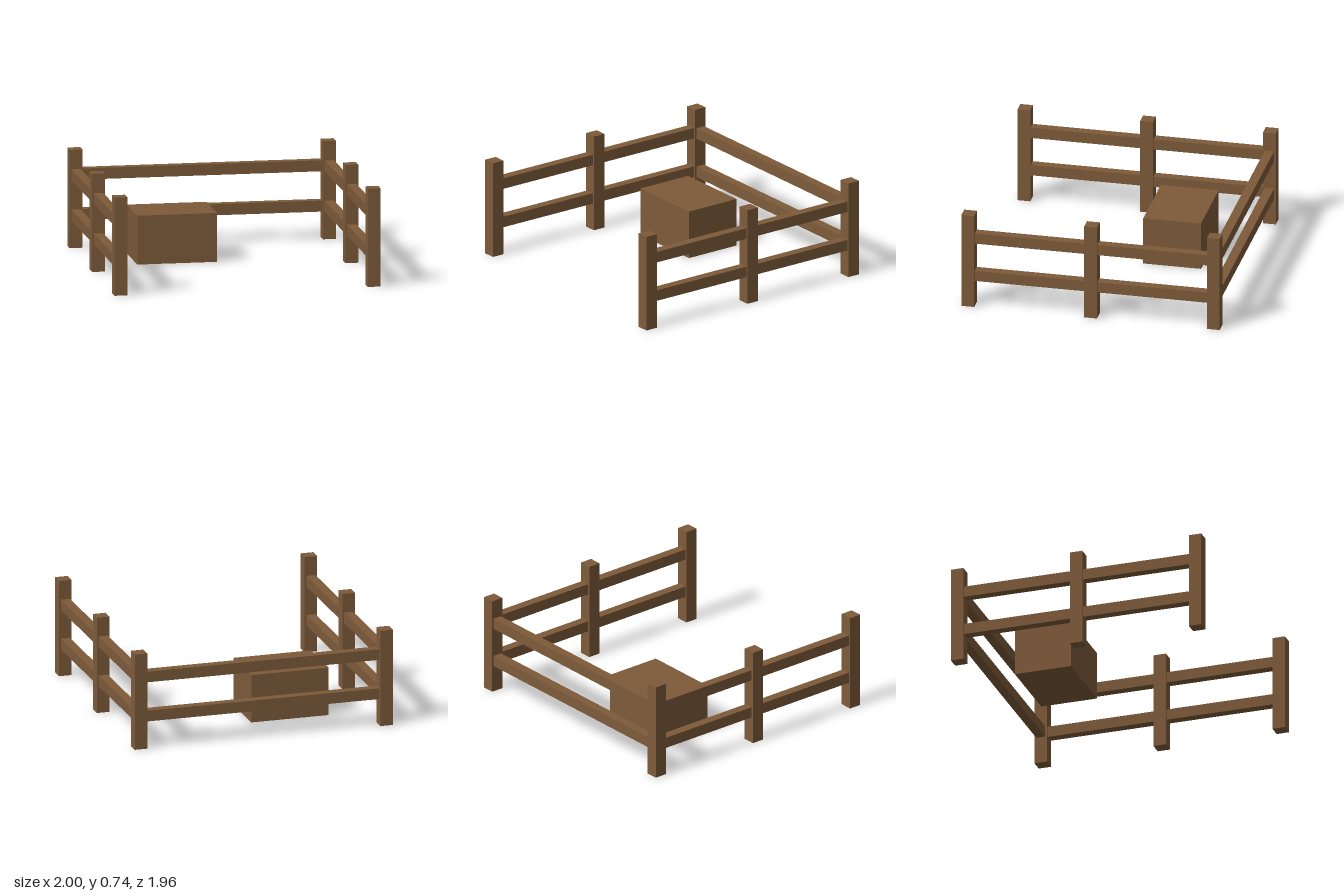
import * as THREE from 'three';

export function createModel() {
  const group = new THREE.Group();
  const wood = new THREE.MeshStandardMaterial({ color: 0x7e5b3a });
  wood.name = 'brownWood';

  // Box given by its size and centre
  const addBox = (name, size, centre) => {
    const mesh = new THREE.Mesh(new THREE.BoxGeometry(...size), wood);
    mesh.name = name;
    mesh.position.set(...centre);
    group.add(mesh);
  };

  const postSize = 0.097, postHeight = 0.74, postX = 0.9515, postZ = 0.93;
  const railHeight = 0.083, railDepth = 0.07;
  const railLevels = { lower: 0.248, upper: 0.552 };
  const rows = { back: -postZ, middle: 0, front: postZ };

  // Three posts along each side
  for (const [side, s] of [['left', 1], ['right', -1]]) {
    for (const [row, z] of Object.entries(rows)) {
      addBox(`${side}${row}Post`, [postSize, postHeight, postSize], [s * postX, postHeight / 2, z]);
    }
    // Side rails, one span between each pair of posts
    for (const [level, y] of Object.entries(railLevels)) {
      for (const [row, d] of [['back', -1], ['front', 1]]) {
        addBox(`${side}${row}${level}Rail`, [railDepth, railHeight, postZ - postSize],
          [s * postX, y, d * postZ / 2]);
      }
    }
  }

  // Back rails; the front stays open
  for (const [level, y] of Object.entries(railLevels)) {
    addBox(`back${level}Rail`, [2 * postX - postSize, railHeight, railDepth], [0, y, -postZ]);
  }

  // Crate standing inside the pen
  addBox('crate', [0.6, 0.368, 0.437], [-0.32, 0.184, -0.39]);

  return group;
}
